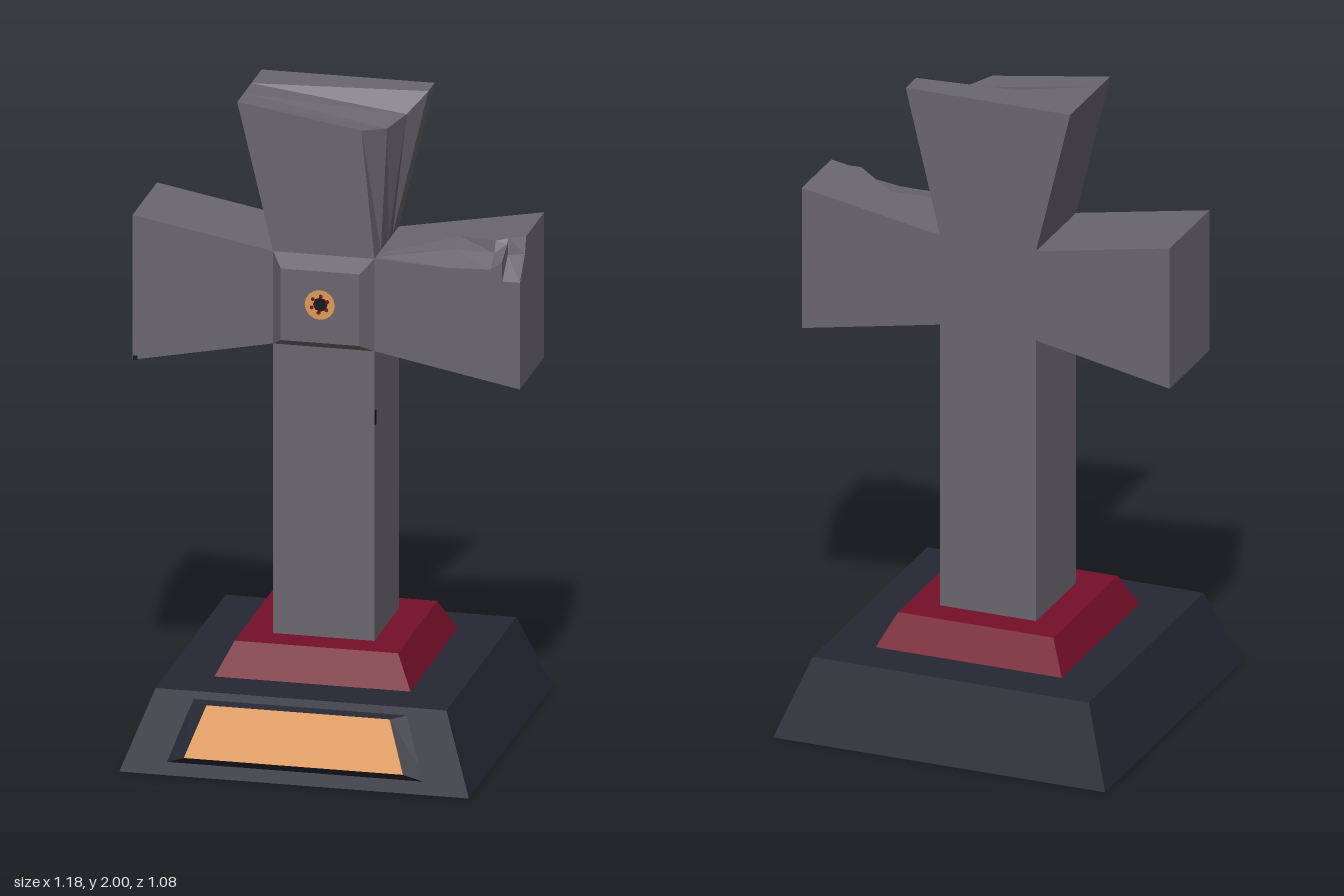
import * as THREE from 'three';

const paint = (name, color) => {
  const m = new THREE.MeshStandardMaterial({ color });
  m.name = name;
  return m;
};

// Skin a list of equal-length closed loops and cap both ends, with flat faces.
// Loops run counter-clockwise seen from the far end.
function loft(sections) {
  const pos = [];
  const tri = (...pts) => pts.forEach((p) => pos.push(...p));
  const n = sections[0].length;
  for (let i = 0; i < sections.length - 1; i++) {
    const s = sections[i], t = sections[i + 1];
    for (let j = 0; j < n; j++) {
      const k = (j + 1) % n;
      tri(s[j], s[k], t[k]);
      tri(s[j], t[k], t[j]);
    }
  }
  const first = sections[0], last = sections[sections.length - 1];
  for (let j = 1; j < n - 1; j++) {
    tri(first[0], first[j + 1], first[j]);
    tri(last[0], last[j], last[j + 1]);
  }
  const g = new THREE.BufferGeometry();
  g.setAttribute('position', new THREE.Float32BufferAttribute(pos, 3));
  g.computeVertexNormals();
  return g;
}

// Rectangular loops: level (y constant) and trapezoid facing front
const level = (y, x0, x1, z0, z1) => [[x0, y, z1], [x1, y, z1], [x1, y, z0], [x0, y, z0]];
const facing = (y0, z0, xa, xb, y1, z1, xc, xd) =>
  [[xa, y0, z0], [xb, y0, z0], [xd, y1, z1], [xc, y1, z1]];

export function createModel() {
  const model = new THREE.Group();
  const stone = paint('grey stone', 0x6a676e);
  const slate = paint('dark slate', 0x252733);
  const red = paint('deep red', 0x750f28);
  const gold = paint('warm gold', 0xe09a58);
  const black = paint('near black', 0x17161b);

  const add = (name, geometry, material, x = 0, y = 0, z = 0) => {
    const mesh = new THREE.Mesh(geometry, material);
    mesh.name = name;
    mesh.position.set(x, y, z);
    model.add(mesh);
    return mesh;
  };

  // Stepped plinth
  add('base', loft([level(0, -0.545, 0.525, -0.54, 0.53), level(0.24, -0.455, 0.435, -0.45, 0.44)]), slate);
  add('redStep', loft([level(0.24, -0.31, 0.29, -0.31, 0.295), level(0.34, -0.26, 0.24, -0.255, 0.245)]), red);

  // Name plate on a bevelled mount
  add('plateMount', loft([
    facing(0.03, 0.51, -0.42, 0.4, 0.22, 0.44, -0.35, 0.33),
    facing(0.06, 0.535, -0.345, 0.325, 0.21, 0.475, -0.29, 0.27),
  ]), slate);
  add('plate', loft([
    facing(0.06, 0.535, -0.345, 0.325, 0.21, 0.475, -0.29, 0.27),
    facing(0.062, 0.54, -0.345, 0.325, 0.212, 0.48, -0.29, 0.27),
  ]), gold);

  // Cross shaft
  const zb = -0.16, zf = 0.15;
  add('shaft', loft([level(0.34, -0.165, 0.145, zb, zf), level(1.54, -0.165, 0.145, zb, zf)]), stone);

  // Upper arm, broken at its front right corner: [z, corner x, corner y]
  add('upperArm', loft([
    [zb, 0.255, 2], [-0.08, 0.255, 2], [-0.03, 0.2, 1.94], [0.07, 0.165, 1.925], [zf, 0.105, 1.94],
  ].map(([z, x, y]) => [[-0.165, 1.54, z], [0.145, 1.54, z], [x, y, z], [-0.275, 2, z]])), stone);

  // Plain side arm
  const armLoop = (x, y0, y1) => [[x, y0, zf], [x, y0, zb], [x, y1, zb], [x, y1, zf]];
  add('rightArm', loft([armLoop(-0.595, 1.165, 1.62), armLoop(-0.165, 1.25, 1.54)]), stone);

  // Chipped side arm: [x, rim z, ledge z, ledge y, front y]
  add('leftArm', loft([
    [0.145, 0.1, 0.13, 1.54, 1.54],
    [0.37, 0.0, 0.08, 1.565, 1.53],
    [0.5, 0.085, 0.1, 1.57, 1.535],
    [0.535, 0.07, 0.08, 1.595, 1.56],
    [0.536, 0.07, 0.08, 1.56, 1.5],
    [0.59, 0.07, 0.085, 1.57, 1.5],
  ].map(([x, rz, lz, ly, fy]) => {
    const t = (x - 0.145) / 0.445;
    const y0 = 1.25 - 0.085 * t, y1 = 1.54 + 0.08 * t;
    return [[x, y0, zf], [x, y0, zb], [x, y1, zb], [x, y1, rz], [x, ly, lz], [x, fy, zf]];
  })), stone);

  // Bevelled boss at the crossing
  add('boss', loft([
    facing(1.25, zf, -0.165, 0.145, 1.54, zf, -0.165, 0.145),
    facing(1.28, 0.2, -0.13, 0.11, 1.505, 0.2, -0.13, 0.11),
  ]), stone);

  // Round medallion with dark centre and a ring of small red marks
  const disc = (name, r, sides, depth, mat, x, y) => {
    const g = new THREE.CylinderGeometry(r, r, depth, sides).toNonIndexed();
    g.rotateX(Math.PI / 2);
    g.computeVertexNormals();
    add(name, g, mat, x, y, 0.2 + depth / 2);
  };
  disc('medallion', 0.046, 16, 0.003, gold, -0.01, 1.4);
  disc('medallionCentre', 0.022, 8, 0.005, black, -0.008, 1.402);
  for (let i = 0; i < 6; i++) {
    const a = (i / 6) * Math.PI * 2 + 0.4;
    disc('medallionMark', 0.006, 6, 0.006, red, -0.01 + 0.026 * Math.cos(a), 1.402 + 0.026 * Math.sin(a));
  }

  // Small dark nicks in the stone
  add('shaftNick', new THREE.BoxGeometry(0.006, 0.045, 0.018), black, 0.144, 1.04, 0.14);
  add('armNick', new THREE.BoxGeometry(0.014, 0.012, 0.006), black, -0.587, 1.173, 0.149);

  return model;
}
